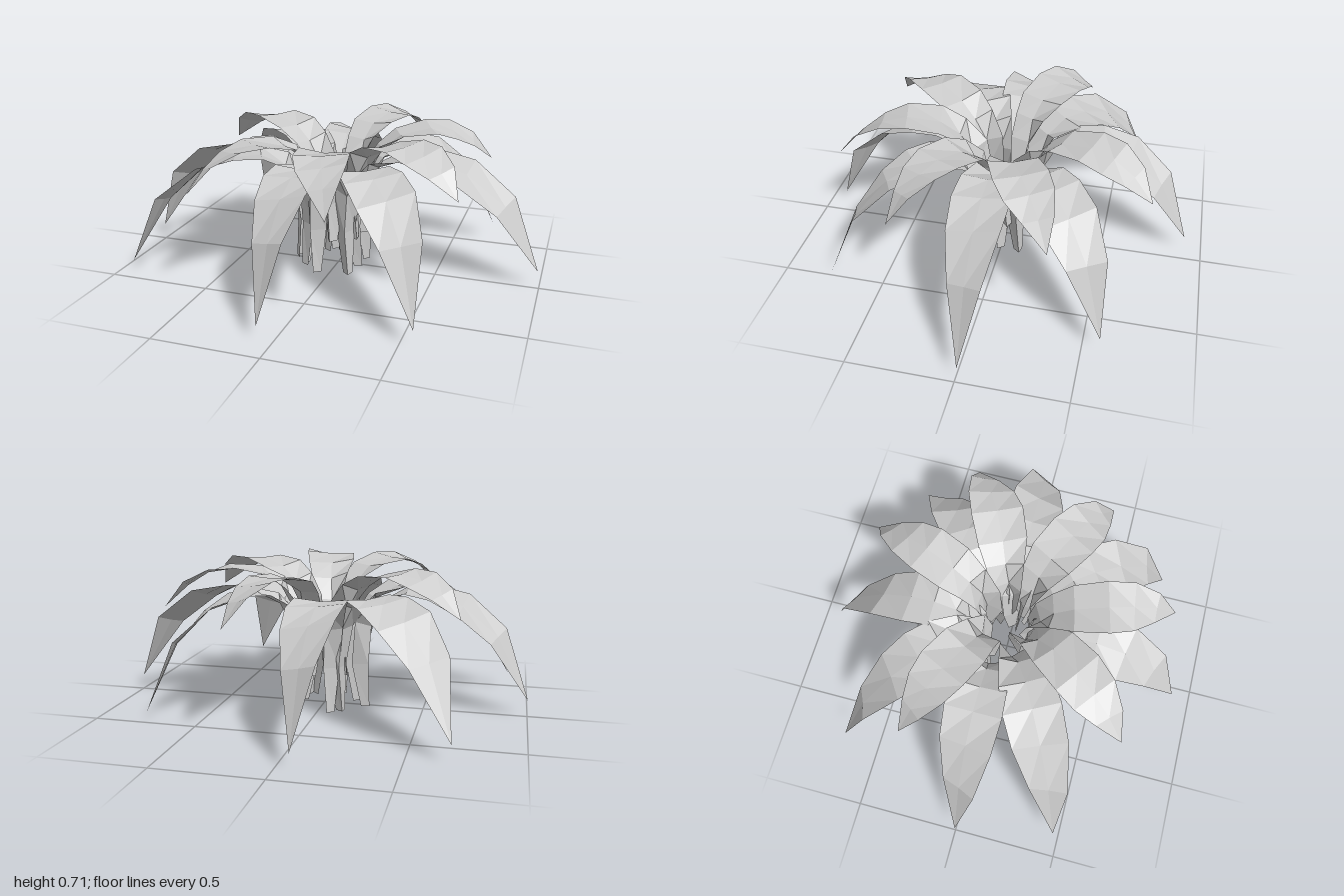
import * as THREE from 'three';

// Leaf rows from root to tip:
// [fraction of reach, height, width, fold depth / width, roll about the midrib in degrees]
const LOWER = [
  [0.15, 0.0, 0.045, 0.8, -20], [0.115, 0.22, 0.09, 0.75, -25], [0.14, 0.43, 0.135, 0.42, -22],
  [0.24, 0.55, 0.19, 0.15, -12], [0.37, 0.597, 0.25, 0.05, 0], [0.50, 0.59, 0.275, 0.03, 6],
  [0.66, 0.535, 0.265, 0.03, 17], [0.84, 0.39, 0.185, 0.03, 27], [1, 0.08, 0, 0, 0],
];
const UPPER = [
  [0.15, 0.17, 0.05, 0.8, -20], [0.10, 0.36, 0.10, 0.7, -25], [0.14, 0.52, 0.145, 0.4, -22],
  [0.25, 0.62, 0.185, 0.15, -12], [0.38, 0.68, 0.235, 0.06, -4], [0.58, 0.705, 0.25, 0.03, 3],
  [0.73, 0.685, 0.225, 0.03, 12], [0.87, 0.63, 0.14, 0.03, 20], [1, 0.525, 0, 0, 0],
];

// Each ring: rows, x of its axis, and leaves as [tip x, tip z, sideways bow of the blade]
const RINGS = {
  lowerCrossLeaf: [LOWER, -0.06, [
    [0.99, -0.01, 0.01], [-0.06, 0.9, 0.01], [-1, 0, 0.02], [-0.07, -0.91, 0],
  ]],
  lowerDiagonalLeaf: [LOWER, 0, [
    [0.56, 0.73, 0], [-0.9, 0.47, 0], [-0.69, -0.67, 0], [0.7, -0.58, 0],
  ]],
  upperLeaf: [UPPER, 0, [
    [0.7, -0.33, 0.035], [0.66, 0.38, 0], [0.2, 0.78, 0.045],
    [-0.48, 0.66, -0.015], [-0.69, -0.33, 0], [0.27, -0.73, -0.015],
  ]],
};

// One leaf: a creased ribbon lofted through the rows, deeply folded stem to pointed tip
function leafGeometry(rows, axisX, [tipX, tipZ, bow]) {
  const out = new THREE.Vector3(tipX - axisX, 0, tipZ);
  const reach = out.length();
  out.normalize();
  const side = new THREE.Vector3(-out.z, 0, out.x);

  const sections = rows.map(([f, y, width, fold, roll], i) => {
    const a = rows[Math.max(i - 1, 0)], b = rows[Math.min(i + 1, rows.length - 1)];
    const tangent = out.clone().multiplyScalar((b[0] - a[0]) * reach);
    tangent.y = b[1] - a[1];
    tangent.normalize();

    // frame across the ribbon, rolled about its tangent
    const angle = THREE.MathUtils.degToRad(roll);
    const across = side.clone().applyAxisAngle(tangent, angle);
    const up = new THREE.Vector3().crossVectors(across, tangent);
    // root ends are cut level with the ground
    if (i === 0) up.setY(0);

    const centre = new THREE.Vector3(axisX, y, 0)
      .addScaledVector(out, f * reach)
      .addScaledVector(side, bow * Math.sin(Math.PI * f));
    if (i === 0) across.setY(0);
    // the midrib sinks away from the upper / inner face
    return [
      centre.clone().addScaledVector(across, -width / 2),
      centre.clone().addScaledVector(up, -fold * width),
      centre.clone().addScaledVector(across, width / 2),
    ];
  });

  const points = [];
  for (let i = 0; i < sections.length - 1; i++) {
    const p = sections[i], q = sections[i + 1];
    for (let k = 0; k < 2; k++) {
      points.push(p[k], p[k + 1], q[k + 1]);
      if (i < sections.length - 2) points.push(p[k], q[k + 1], q[k]);
    }
  }
  const geometry = new THREE.BufferGeometry().setFromPoints(points);
  geometry.computeVertexNormals();
  return geometry;
}

export function createModel() {
  const leafGray = new THREE.MeshStandardMaterial({
    name: 'leafGray', color: 0xcccccc, flatShading: true, side: THREE.DoubleSide,
  });
  const plant = new THREE.Group();
  plant.name = 'plant';

  // Rings of arching leaves
  for (const [name, [rows, axisX, leaves]] of Object.entries(RINGS)) {
    const ring = new THREE.Group();
    ring.name = name + 'Ring';
    leaves.forEach((spec, i) => {
      const leaf = new THREE.Mesh(leafGeometry(rows, axisX, spec), leafGray);
      leaf.name = name + (i + 1);
      ring.add(leaf);
    });
    plant.add(ring);
  }
  return plant;
}
